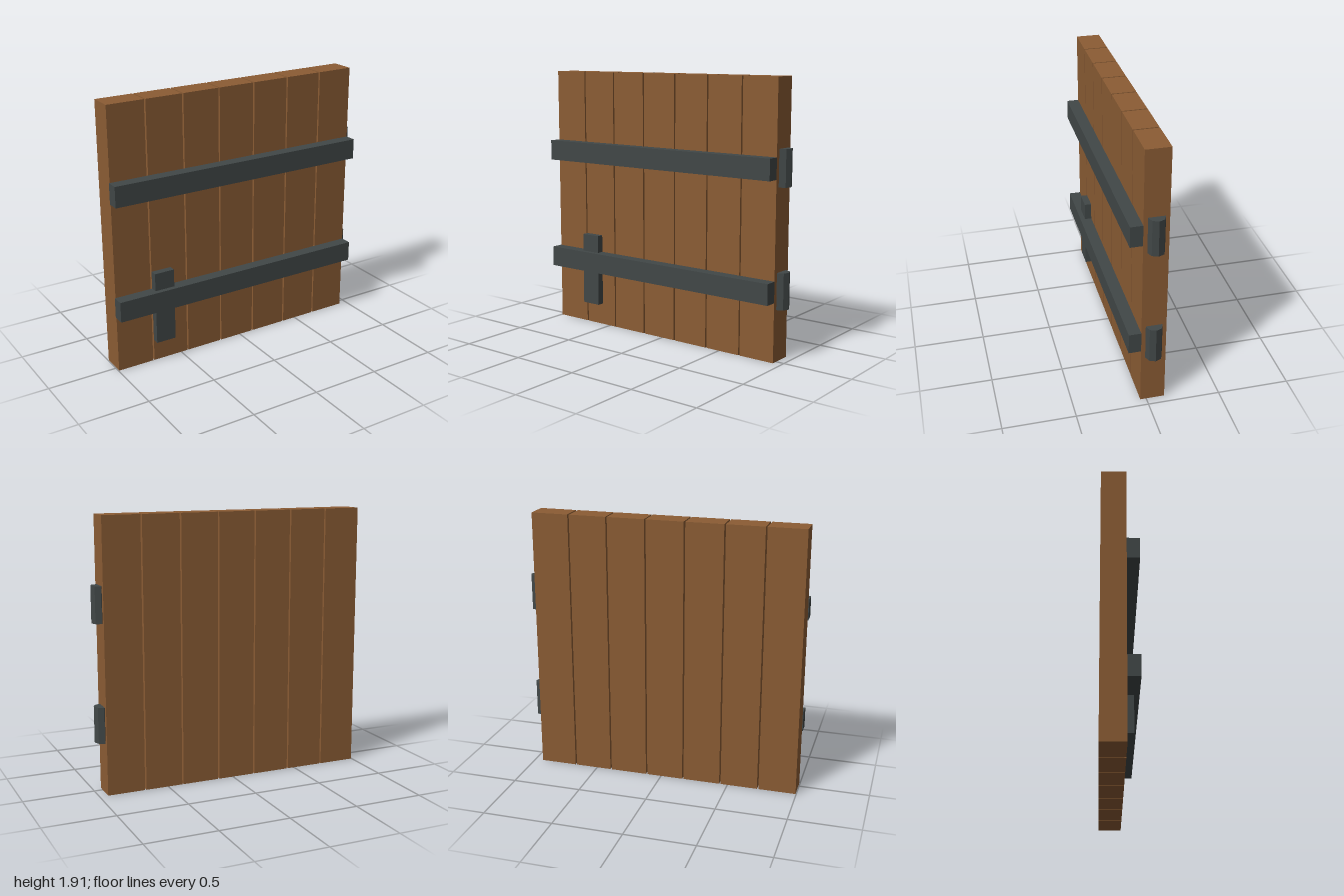
import * as THREE from 'three';

export function createModel() {
  const wood = new THREE.MeshStandardMaterial({ name: 'wood', color: 0x8b5c34, flatShading: true });
  const iron = new THREE.MeshStandardMaterial({ name: 'iron', color: 0x414747, flatShading: true });
  const model = new THREE.Group();
  model.name = 'plankGate';

  const add = (name, geometry, material, x, y, z) => {
    const mesh = new THREE.Mesh(geometry, material);
    mesh.name = name;
    mesh.position.set(x, y, z);
    model.add(mesh);
  };

  const back = -0.127, face = 0.042; // back and front of the planks
  const midZ = (back + face) / 2;
  const height = 1.906;

  // Seven upright planks with narrow open gaps
  const width = 0.267, pitch = 0.278;
  const plank = new THREE.BoxGeometry(width, height, face - back);
  for (let i = 0; i < 7; i++) {
    add(`plank${i + 1}`, plank, wood, -0.995 + width / 2 + i * pitch, height / 2, midZ);
  }

  // Two crossbars, each with an eight-sided hinge pin half sunk in the edge
  const bar = new THREE.BoxGeometry(1.94, 0.147, 0.085);
  const hinge = new THREE.CylinderGeometry(0.057, 0.057, 0.253, 8);
  for (const [level, y] of [['lower', 0.489], ['upper', 1.314]]) {
    add(`${level}Crossbar`, bar, iron, -0.03, y, face + 0.0425);
    add(`${level}Hinge`, hinge, iron, 0.943, y, midZ);
  }

  // Latch plate behind the lower crossbar
  add('latchPlate', new THREE.BoxGeometry(0.147, 0.53, 0.05), iron, -0.643, 0.425, face + 0.025);

  return model;
}
